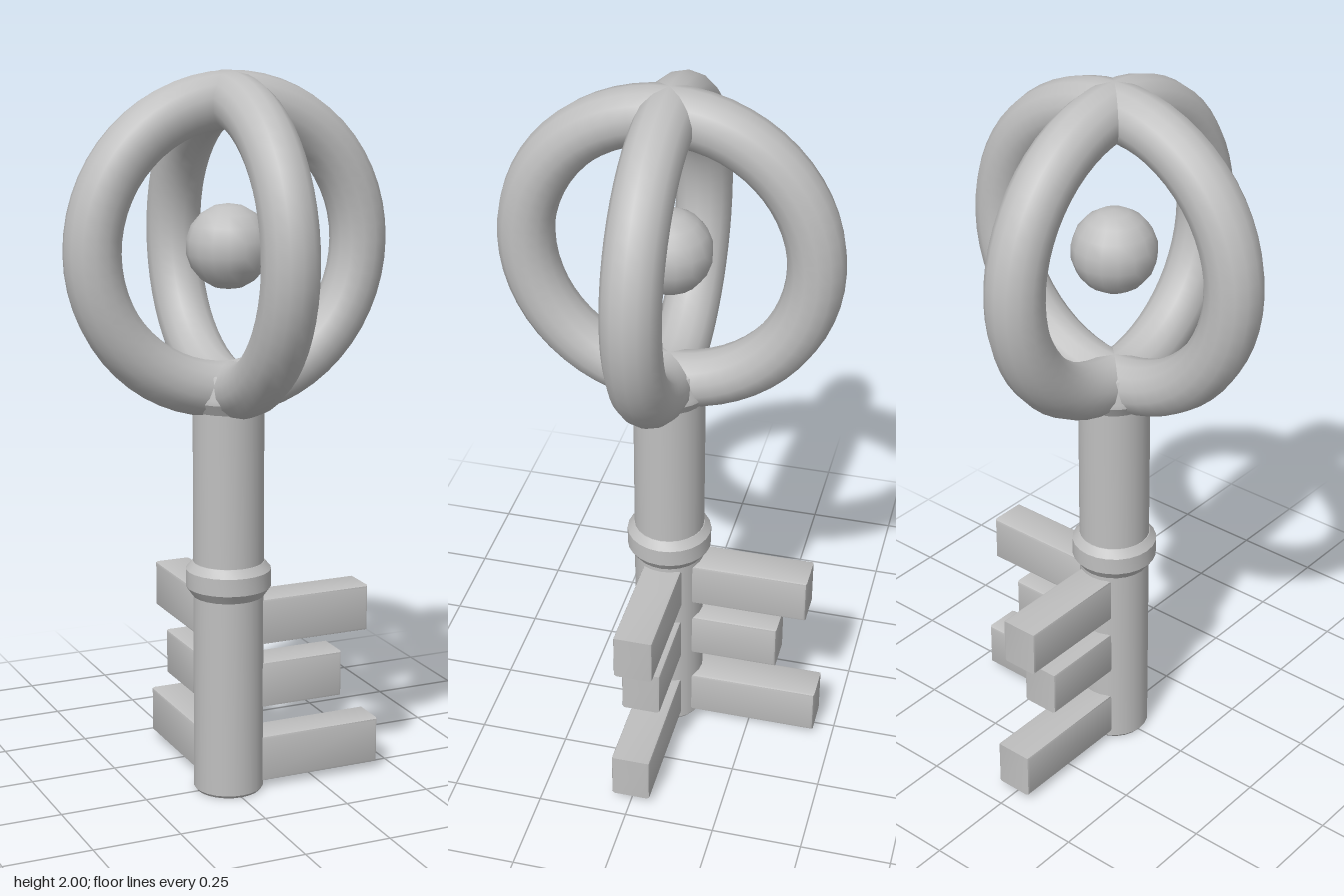
import * as THREE from 'three';
import { toCreasedNormals } from 'three/addons/utils/BufferGeometryUtils.js';

export function createModel() {
  const key = new THREE.Group();
  key.name = 'key';
  const metal = new THREE.MeshStandardMaterial({ color: 0xbfbfbf });
  metal.name = 'greyMetal';

  const add = (name, geometry, parent = key) => {
    const mesh = new THREE.Mesh(geometry, metal);
    mesh.name = name;
    parent.add(mesh);
    return mesh;
  };
  const lathe = (points) => toCreasedNormals(
    new THREE.LatheGeometry(points.map(([r, y]) => new THREE.Vector2(r, y)), 24), 0.5);

  // Shaft with a banded collar and a flared seat under the bow
  add('shaft', lathe([[0, 0], [0.092, 0], [0.098, 0.008], [0.098, 1.13], [0, 1.13]]));
  add('collar', lathe([[0.09, 0.57], [0.1, 0.57], [0.118, 0.596], [0.118, 0.645], [0.1, 0.667], [0.09, 0.667]]));
  add('bowSeat', lathe([[0.09, 1.095], [0.1, 1.095], [0.118, 1.125], [0.118, 1.138], [0.098, 1.197], [0.09, 1.2], [0, 1.2]]));

  // Two crossed rings around a floating ball
  const bowY = 1.537;
  for (const [name, turn] of [['frontRing', 0], ['sideRing', Math.PI / 2]]) {
    const ring = add(name, new THREE.TorusGeometry(0.386, 0.077, 14, 56));
    ring.position.y = bowY;
    ring.rotation.y = turn;
  }
  add('ball', new THREE.SphereGeometry(0.115, 16, 9)).position.y = bowY;

  // Chamfered teeth: a bevelled block running outward along +x
  const toothGeometry = (y0, y1, end) => {
    const b = 0.008, start = 0.07, w = 0.055 - b;
    const shape = new THREE.Shape();
    shape.moveTo(start + b, y0 + b);
    shape.lineTo(end - b, y0 + b);
    shape.lineTo(end - b, y1 - b);
    shape.lineTo(start + b, y1 - b);
    shape.closePath();
    const geometry = new THREE.ExtrudeGeometry(shape, {
      depth: 2 * w, bevelEnabled: true, bevelSize: b, bevelThickness: b, bevelSegments: 2,
    });
    geometry.translate(0, 0, -w);
    return toCreasedNormals(geometry, 0.6);
  };

  // The same three teeth face left (+x) and back (-z)
  const teeth = [[0.02, 0.153, 0.445], [0.24, 0.372, 0.327], [0.425, 0.557, 0.408]];
  for (const [name, turn] of [['leftTeeth', 0], ['backTeeth', Math.PI / 2]]) {
    const row = new THREE.Group();
    row.name = name;
    row.rotation.y = turn;
    teeth.forEach((t, i) => add('tooth' + (i + 1), toothGeometry(...t), row));
    key.add(row);
  }
  return key;
}
